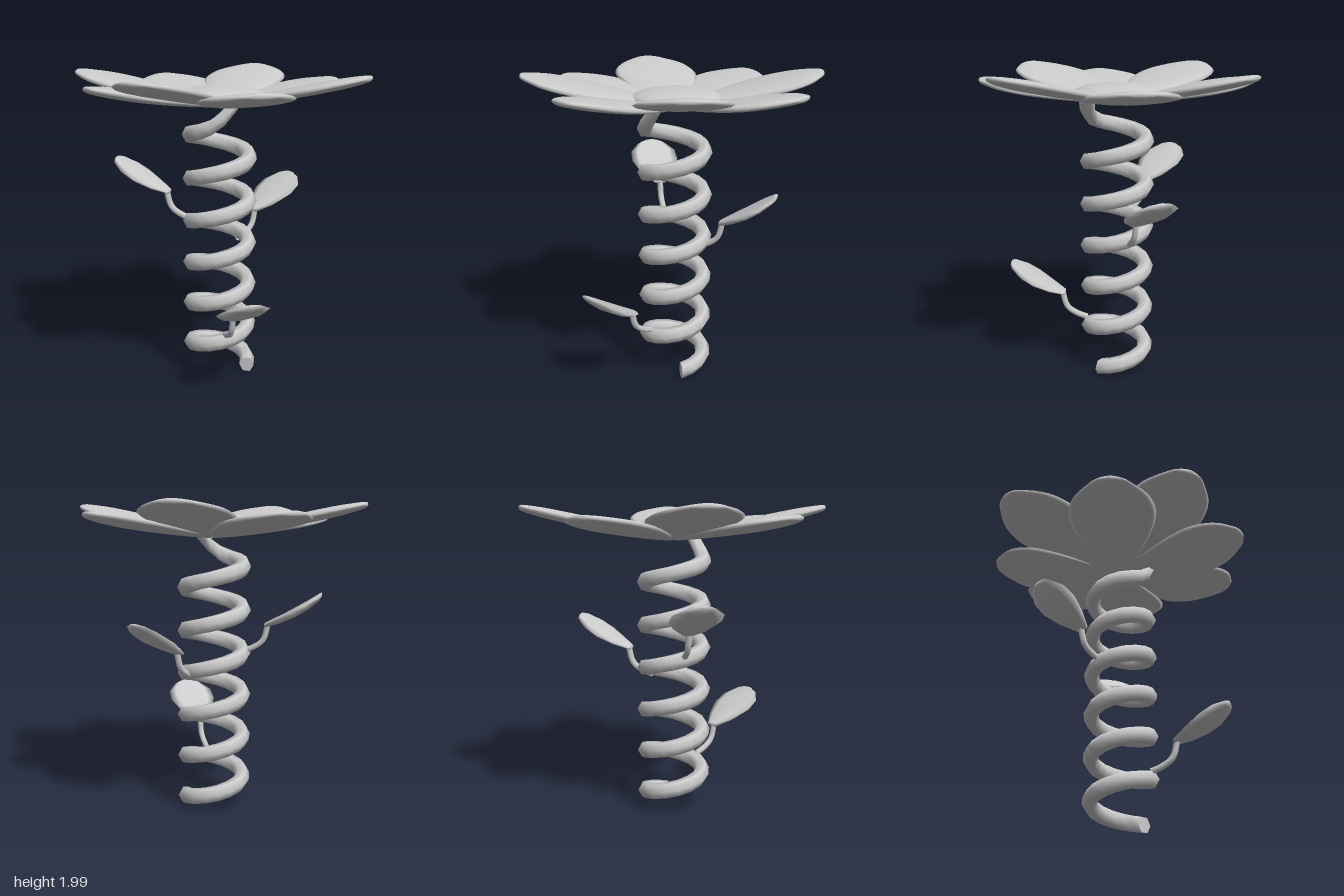
import * as THREE from 'three';

const material = new THREE.MeshStandardMaterial({ color: 0xcccccc, side: THREE.DoubleSide });

function addMesh(parent, geometry, name) {
  const mesh = new THREE.Mesh(geometry, material);
  mesh.name = name;
  parent.add(mesh);
  return mesh;
}

// Smooth skin over closed rings: point(i, a) gives the corner of ring i at angle a
function loft(rings, sides, point) {
  const positions = [], index = [];
  for (let i = 0; i < rings; i++) {
    for (let j = 0; j < sides; j++) {
      positions.push(...point(i, (j / sides) * Math.PI * 2));
      if (i === rings - 1) continue;
      const a = i * sides + j, b = i * sides + ((j + 1) % sides);
      index.push(a, a + sides, b, b, a + sides, b + sides);
    }
  }
  const geometry = new THREE.BufferGeometry();
  geometry.setAttribute('position', new THREE.Float32BufferAttribute(positions, 3));
  geometry.setIndex(index);
  geometry.computeVertexNormals();
  return geometry;
}

// Lens-shaped blade along +x; outline points are (distance, half width), cup raises the sides
function blade(outline, sides, thickness, cup, lift) {
  const widest = Math.max(...outline.map((p) => p.y));
  return loft(outline.length, sides, (i, a) => {
    const { x, y } = outline[i];
    const w = Math.max(y, 0), k = w / widest, c = Math.cos(a);
    return [x, lift(x) + thickness * Math.sqrt(k) * Math.sin(a) + cup * k * k * c * c, w * c];
  });
}

const toPoints = (pairs) => pairs.map(([x, y]) => new THREE.Vector2(x, y));

function makeSpring() {
  const spring = new THREE.Group();
  spring.name = 'springStem';
  const radius = 0.19, tube = 0.05, turns = 5.88, rings = 96;
  const coil = loft(rings, 6, (i, a) => {
    const t = (turns * i) / (rings - 1), angle = t * Math.PI * 2;
    // The last part rises steeply into the flower
    const y = 0.055 + 0.28 * t + 4 * Math.max(0, t - 5.7) ** 2;
    const r = radius + tube * Math.cos(a);
    return [r * Math.cos(angle), y + tube * 1.1 * Math.sin(a), -r * Math.sin(angle)];
  });
  addMesh(spring, coil, 'coil');
  const end = addMesh(spring, new THREE.CircleGeometry(tube, 6), 'coilEnd');
  end.scale.y = 1.1;
  end.position.set(radius, 0.055, 0);
  spring.position.set(0.003, 0, 0.015);
  return spring;
}

function makeLeaf(angle, y) {
  const leaf = new THREE.Group();
  leaf.name = 'leaf';
  // Bent stalk
  const path = new THREE.CatmullRomCurve3([
    [0.18, 0.03], [0.23, 0.045], [0.3, 0.085], [0.325, 0.12], [0.345, 0.2],
  ].map(([x, h]) => new THREE.Vector3(x, h, 0)));
  addMesh(leaf, new THREE.TubeGeometry(path, 10, 0.02, 6), 'leafStalk');
  // Blunt blade curling up at the tip
  const outline = toPoints([
    [0, 0], [0.005, 0.045], [0.1, 0.115], [0.2, 0.16], [0.28, 0.155], [0.345, 0.095], [0.362, 0.05], [0.365, 0],
  ]);
  const lift = (x) => 0.4 * x + 1.2 * x ** 3;
  const mesh = addMesh(leaf, blade(outline, 8, 0.03, 0.015, lift), 'leafBlade');
  mesh.position.set(0.325, 0.2, 0);
  leaf.position.set(0, y, 0.042);
  leaf.rotation.y = -THREE.MathUtils.degToRad(angle);
  return leaf;
}

function makeFlower() {
  const flower = new THREE.Group();
  flower.name = 'flower';
  const shape = toPoints([
    [0.05, 0.07], [0.25, 0.155], [0.48, 0.245], [0.66, 0.278], [0.82, 0.238], [0.94, 0.135], [0.985, 0.07], [1, 0],
  ]);
  const outline = new THREE.SplineCurve(shape).getPoints(28);

  // Petals: angle, length; every second one belongs to the lower, flatter layer
  [[-90, 0.95], [-44, 0.87], [9, 0.96], [59, 0.885], [103, 0.965], [134, 0.885], [179, 0.96], [226, 0.875]]
    .forEach(([angle, length], i) => {
      const lower = i % 2 === 1;
      const points = outline.map((p) => new THREE.Vector2(p.x * length, p.y));
      const base = lower ? 1.795 : 1.803, rise = lower ? 0.13 : 0.184;
      const lift = (x) => base + rise * (x / length) ** 1.15;
      const petal = addMesh(flower, blade(points, 16, 0.035, 0, lift), lower ? 'lowerPetal' : 'upperPetal');
      petal.rotation.y = -THREE.MathUtils.degToRad(angle);
    });

  // Domed centre
  const centre = addMesh(flower, new THREE.SphereGeometry(1, 24, 16), 'flowerCentre');
  centre.scale.set(0.285, 0.065, 0.285);
  centre.position.y = 1.85;
  return flower;
}

export function createModel() {
  const model = new THREE.Group();
  model.name = 'springFlower';
  model.add(makeSpring(), makeFlower());
  // Three leaves around the stem
  [[58, 0.305], [180, 1.025], [300, 0.87]].forEach(([angle, y]) => model.add(makeLeaf(angle, y)));
  return model;
}
